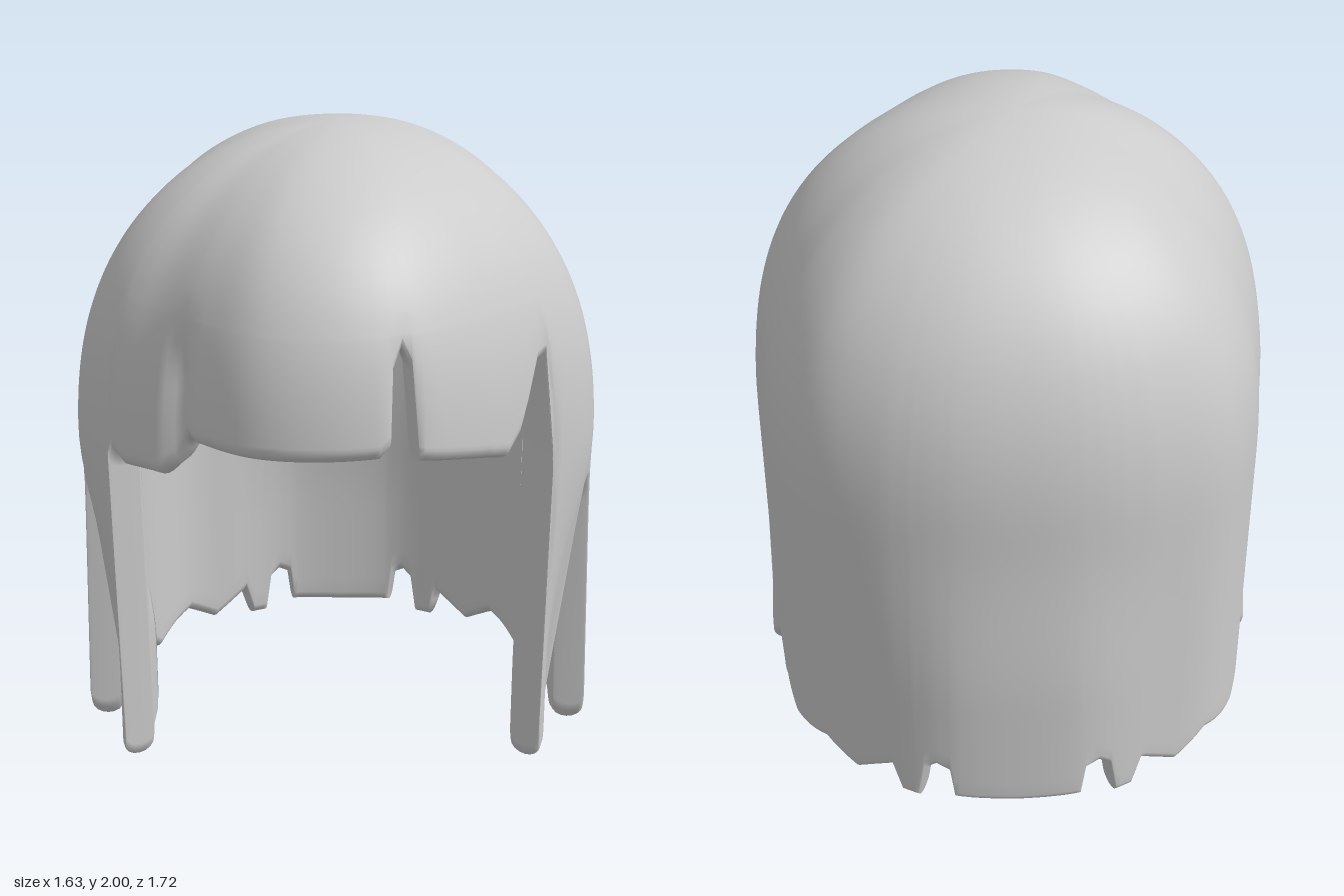
import * as THREE from 'three';

// plan radius every 15 degrees, from the front (+z) round past +x
const PLAN = [.865, .84, .79, .76, .775, .805, .79, .785, .825, .86, .85, .835, .825,
  .835, .85, .865, .83, .785, .79, .815, .8, .765, .8, .86];

// hem height by angle [degrees, y]; close pairs make the sides of a slit
const FRINGE = [
  // short lock
  [-57.5, 1.04], [-56, 1.09], [-53, 1.06], [-42, 1.07], [-38, 1.12], [-35, 1.18],
  // wide bang, slit, narrow bang, notch
  [-32, 1.22], [-29, 1.21], [9, 1.22], [11, 1.25], [11.8, 1.45], [14, 1.51], [15.8, 1.45],
  [16.7, 1.2], [35, 1.15], [41, 1.13], [45, 1.18], [50, 1.31], [53, 1.37], [56.5, 1.38], [57.5, 1],
];
const SIDE = [
  // long strand and the slit behind it
  [58.5, .1], [60, .06], [66, .05], [75, .07], [77.2, .12], [78.2, .8], [80, .88], [82, .88], [84, .8],
  // ragged ends to the middle of the back
  [84.8, .08], [87, .02], [92, .005], [98, .1], [107, .03], [115, .1], [122, .04], [136, .11], [144, .05],
  [153, .13], [155.3, .03], [159, .03], [160.5, .16], [163, .19], [166, .17], [167, .06], [180, .055],
];
const HEM = [...SIDE.map(([a, y]) => [-a, y]).reverse(), ...FRINGE, ...SIDE];

// creases running up from the notches: [degrees, width, depth, top]
const CREASES = [[14, 2.5, .02, 1.62], [-36, 3.5, .05, 1.6], [55, 3, .02, 1.5]];

const THICK = .1;
const smooth = THREE.MathUtils.smoothstep;

function planRadius(deg) {
  const f = ((deg + 360) % 360) / 15, i = Math.floor(f), t = f - i;
  const p = k => PLAN[(i + k + 24) % 24];
  const m0 = (p(1) - p(-1)) / 2, m1 = (p(2) - p(0)) / 2;
  return p(0) * (2 * t ** 3 - 3 * t * t + 1) + m0 * (t ** 3 - 2 * t * t + t)
    + p(1) * (3 * t * t - 2 * t ** 3) + m1 * (t ** 3 - t * t);
}

function hemAt(deg) {
  let i = 1;
  while (i < HEM.length - 1 && HEM[i][0] < deg) i++;
  const [a0, y0] = HEM[i - 1], [a1, y1] = HEM[i];
  return y0 + (y1 - y0) * (deg - a0) / (a1 - a0);
}

// radius of the outer surface: dome (fullest in front), straight sides, slight flare
function outerRadius(deg, y) {
  const c = Math.cos(THREE.MathUtils.degToRad(deg)), a = Math.abs(deg);
  const power = 2.5 + .5 * c * c + .3 * c;
  let r = planRadius(deg) * Math.sqrt(Math.max(0, 1 - Math.max(0, y - 1) ** power));
  r *= 1 + .04 * smooth(a, 145, 170) * (1 - smooth(y, .45, 1.1));
  if (a > 82 && a < 97) r += .02 * (1 - smooth(y, .05, .4));
  for (const [centre, w, d, top] of CREASES) {
    r -= d * Math.exp(-(((deg - centre) / w) ** 2)) * (1 - smooth(y, top - .25, top)) * smooth(y, .9, 1.1);
  }
  return r;
}

// the long front strands bend inward and flatten towards their tips
function strandBend(deg, y) {
  const a = Math.abs(deg);
  if (a < 57 || a > 84) return 0;
  const amount = (.01 + .11 * smooth(a, 52, 80)) * (1 - smooth(a, 78, 84));
  return Math.sign(deg) * amount * (1 - smooth(y, .35, 1.1));
}

// one column: down the outside, round the hem, up the inside, as [radius, y]
function column(deg, domeRows, sideRows, capSteps) {
  const pts = [], cap = .04, end = hemAt(deg) + cap, split = 1.56;
  const innerRadius = y => outerRadius(deg, y) * (1 - THICK / planRadius(deg));
  // rows of the dome are level all round, those below reach down to the hem
  const yAt = i => i <= domeRows
    ? 2 - (2 - split) * (i / domeRows) ** 2
    : split + (end - split) * (i - domeRows) / sideRows;
  const rows = domeRows + sideRows;
  for (let i = 0; i <= rows; i++) pts.push([outerRadius(deg, yAt(i)), yAt(i)]);
  const ro = outerRadius(deg, end), ri = innerRadius(end);
  for (let i = 1; i < capSteps; i++) {
    const t = Math.PI * i / capSteps;
    pts.push([(ro + ri) / 2 + (ro - ri) / 2 * Math.cos(t), end - cap * Math.sin(t)]);
  }
  for (let i = rows; i >= 0; i--) {
    const y = yAt(i);
    pts.push([innerRadius(y), y - THICK * smooth(y, 1.2, 2)]);
  }
  return pts;
}

function shellGeometry() {
  // even columns plus one at every turn of the hem
  const angles = HEM.map(h => h[0]).slice(0, -1);
  for (let d = -178; d < 180; d += 2) {
    if (angles.every(a => Math.abs(a - d) > .7)) angles.push(d);
  }
  angles.sort((p, q) => p - q);

  const pos = [], index = [];
  let n = 0;
  for (const deg of angles) {
    const t = THREE.MathUtils.degToRad(deg), pts = column(deg, 24, 28, 8);
    n = pts.length;
    for (const [r, y] of pts) pos.push(r * Math.sin(t) - strandBend(deg, y), y, r * Math.cos(t));
  }
  angles.forEach((_, c) => {
    const a = c * n, b = ((c + 1) % angles.length) * n;
    for (let i = 0; i < n - 1; i++) {
      index.push(a + i, a + i + 1, b + i, b + i, a + i + 1, b + i + 1);
    }
  });
  const geo = new THREE.BufferGeometry();
  geo.setAttribute('position', new THREE.Float32BufferAttribute(pos, 3));
  geo.setIndex(index);
  geo.computeVertexNormals();
  return geo;
}

export function createModel() {
  const group = new THREE.Group();
  group.name = 'hair';
  const shell = new THREE.Mesh(shellGeometry(),
    new THREE.MeshStandardMaterial({ color: 0xcccccc, side: THREE.DoubleSide }));
  shell.name = 'hairShell';
  group.add(shell);
  return group;
}
